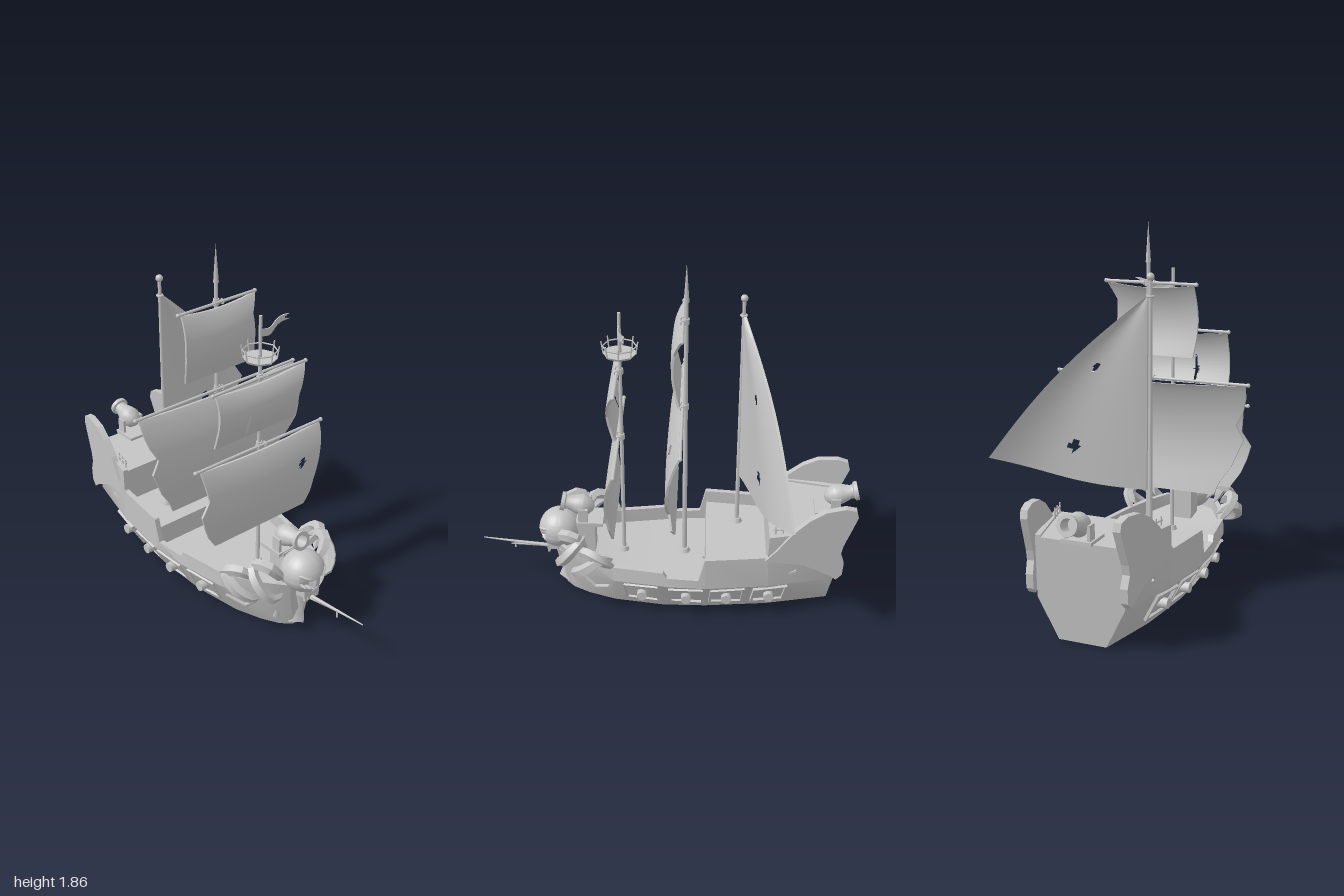
import * as THREE from 'three';
import { toCreasedNormals } from 'three/addons/utils/BufferGeometryUtils.js';

const V = (x, y, z) => new THREE.Vector3(x, y, z);
const lerp = THREE.MathUtils.lerp;
const CX = -0.047; // ship centreline

// hull stations: z, bottom half width, side half width, rim half width, rim y, deck y
const stations = [
  [-0.85, 0.12, 0.22, 0.215, 0.505, 0.495], [-0.52, 0.19, 0.3, 0.3, 0.505, 0.495],
  [-0.515, 0.19, 0.3, 0.3, 0.38, 0.31], [-0.2, 0.22, 0.335, 0.335, 0.38, 0.31],
  [-0.195, 0.22, 0.335, 0.335, 0.375, 0.2], [-0.165, 0.22, 0.333, 0.333, 0.25, 0.2],
  [0, 0.22, 0.325, 0.32, 0.25, 0.2], [0.02, 0.22, 0.32, 0.315, 0.28, 0.2],
  [0.28, 0.18, 0.28, 0.275, 0.28, 0.2], [0.42, 0.13, 0.215, 0.22, 0.29, 0.22],
  [0.51, 0.08, 0.14, 0.15, 0.3, 0.24], [0.555, 0.03, 0.07, 0.08, 0.28, 0.24]];

function hullAt(z, k) {
  let i = 0;
  while (i < stations.length - 2 && stations[i + 1][0] < z) i++;
  const a = stations[i], b = stations[i + 1];
  return lerp(a[k], b[k], (z - a[0]) / (b[0] - a[0]));
}

function hullGeometry() {
  const loops = stations.map(([z, b, m, t, rim, deck], i) => {
    const w = Math.max(t - 0.028, 0.02);
    const half = [[b, 0], [m, 0.2], [t, rim], [w, rim], [w, deck]];
    const pts = [...half, ...half.slice().reverse().map(([x, y]) => [-x, y])];
    return pts.map(([x, y]) => V(x, y, z - (i === 0 ? y * 0.07 : 0) + (z > 0.5 ? y * 0.08 : 0)));
  });
  const n = 10, index = [];
  for (let i = 0; i < loops.length - 1; i++) for (let j = 0; j < n; j++) {
    const a = i * n + j, b = i * n + (j + 1) % n;
    index.push(a, b, b + n, a, b + n, a + n);
  }
  // bow and stern caps
  const cap = (loop, base, flip) => THREE.ShapeUtils.triangulateShape(loop.map(p => new THREE.Vector2(p.x, p.y)), [])
    .forEach(([a, b, c]) => index.push(base + a, base + (flip ? c : b), base + (flip ? b : c)));
  cap(loops[0], 0, true);
  cap(loops[loops.length - 1], (loops.length - 1) * n, false);
  const g = new THREE.BufferGeometry().setFromPoints(loops.flat());
  g.setIndex(index);
  return toCreasedNormals(g, 0.5);
}

// cloth: a thin box bent by map(u, v), with diamond holes [u, v, du, dv]
function clothGeometry(map, holes = [], thick = 0.012, nx = 40, ny = 40) {
  const g = new THREE.BoxGeometry(1, 1, 1, nx, ny, 1), p = g.attributes.position;
  const id = g.index.array, keep = [];
  for (let i = 0; i < id.length; i += 3) {
    const t = [id[i], id[i + 1], id[i + 2]];
    const u = t.reduce((s, k) => s + p.getX(k), 0) / 3 + 0.5, v = 0.5 - t.reduce((s, k) => s + p.getY(k), 0) / 3;
    if (!holes.some(h => Math.abs(u - h[0]) / h[2] + Math.abs(v - h[1]) / h[3] < 1)) keep.push(...t);
  }
  g.setIndex(keep);
  for (let i = 0; i < p.count; i++) {
    const q = map(p.getX(i) + 0.5, 0.5 - p.getY(i));
    p.setXYZ(i, q.x, q.y, q.z + p.getZ(i) * thick);
  }
  return toCreasedNormals(g, 0.7);
}

// faceted tube along points, tapered at both ends
function hornGeometry(points, r, sides = 5, n = 9) {
  const path = new THREE.CatmullRomCurve3(points), g = new THREE.TubeGeometry(path, n, r, sides);
  const p = g.attributes.position, q = V(0, 0, 0);
  for (let i = 0; i < p.count; i++) {
    const t = Math.floor(i / (sides + 1)) / n, c = path.getPointAt(t);
    q.fromBufferAttribute(p, i).sub(c).multiplyScalar(Math.sqrt(Math.max(0, Math.sin(Math.PI * t)))).add(c);
    p.setXYZ(i, q.x, q.y, q.z);
  }
  return toCreasedNormals(g, 0.5);
}

export function createModel() {
  const grey = new THREE.MeshStandardMaterial({ color: 0xc4c4c4 });
  grey.name = 'plain grey';
  const model = new THREE.Group(), ship = new THREE.Group();
  ship.name = 'ship';
  ship.position.x = CX;
  model.add(ship);
  const add = (name, geo, x = 0, y = 0, z = 0, parent = ship) => {
    const m = new THREE.Mesh(geo, grey);
    m.name = name;
    m.position.set(x, y, z);
    parent.add(m);
    return m;
  };
  const box = (name, w, h, d, x, y, z, parent) => add(name, new THREE.BoxGeometry(w, h, d), x, y, z, parent);
  const rod = (name, a, b, r0, r1 = r0, sides = 8) => {
    const m = add(name, new THREE.CylinderGeometry(r1, r0, a.distanceTo(b), sides));
    m.position.copy(a).lerp(b, 0.5);
    m.quaternion.setFromUnitVectors(V(0, 1, 0), b.clone().sub(a).normalize());
    return m;
  };

  add('hull', hullGeometry());

  // stern side wings
  const outline = [[0.5, 0.37], [0.56, 0.43], [0.64, 0.53], [0.72, 0.6], [0.8, 0.643], [0.9, 0.655], [0.955, 0.64],
    [0.965, 0.6], [0.935, 0.52], [0.9, 0.43], [0.89, 0.38], [0.91, 0.32], [0.905, 0.25], [0.875, 0.22], [0.84, 0.25], [0.7, 0.33]];
  for (const s of [1, -1]) {
    const shape = new THREE.Shape(outline.map(([a, b]) => new THREE.Vector2(a, b)));
    const g = new THREE.ExtrudeGeometry(shape, { depth: 0.037, bevelEnabled: false }).rotateY(Math.PI / 2);
    const p = g.attributes.position;
    for (let i = 0; i < p.count; i++) p.setX(i, p.getX(i) - 0.0185 + s * (0.298 + (p.getZ(i) + 0.5) * 0.155));
    g.computeVertexNormals();
    add('sternWing', g);
  }

  // gun ports along both sides
  for (const s of [1, -1]) for (const z of [0.13, -0.1, -0.31, -0.53]) {
    const b = hullAt(z, 1), m = hullAt(z, 2), x = lerp(b, m, 0.6);
    const taper = -(hullAt(z + 0.05, 2) - hullAt(z - 0.05, 2)) / 0.1;
    const port = new THREE.Group();
    port.name = 'gunPort';
    port.position.set(s * x, 0.122, z);
    port.lookAt(port.position.clone().add(V(s, -(m - b) / 0.2, taper)));
    for (const e of [1, -1]) {
      box('portRail', 0.18, 0.012, 0.024, 0, e * 0.07, 0, port).rotation.z = s * e * 0.04;
      box('portPost', 0.012, 0.14, 0.024, e * 0.084, 0, 0, port);
    }
    ship.add(port);
    add('gunBarrel', new THREE.CylinderGeometry(0.026, 0.026, 0.08, 14), s * x, 0.118, z).rotation.z = Math.PI / 2;
  }
  // carved slashes and bow braces
  for (const s of [1, -1]) {
    [[-0.64, 0.27, 0.4], [-0.76, 0.28, 0.7], [-0.78, 0.36, 0.5], [-0.66, 0.36, 0.2]].forEach(([z, y, a]) => {
      box('hullScar', 0.012, 0.012, 0.06, s * hullAt(z, 3), y, z).rotation.x = a;
    });
    rod('bowBrace', V(s * 0.2, 0.1, 0.38), V(s * 0.262, 0.15, 0.3), 0.01);
    rod('bowBrace', V(s * 0.2, 0.1, 0.38), V(s * 0.185, 0.17, 0.45), 0.01);
    rod('bowSpike', V(s * 0.1, 0.06, 0.5), V(s * 0.1, 0.2, 0.54), 0.022, 0.002, 4);
  }

  // deck fittings: ladder to the upper deck and side rails at the stern
  for (const s of [1, -1]) box('ladderSide', 0.01, 0.11, 0.012, 0.23 + s * 0.035, 0.255, -0.19);
  for (let i = 0; i < 4; i++) box('ladderRung', 0.07, 0.008, 0.012, 0.23, 0.218 + i * 0.025, -0.19);
  for (const s of [1, -1]) {
    for (let i = 0; i < 3; i++) {
      const x = s * (0.262 - i * 0.008), z = -0.55 - i * 0.04;
      rod('sternRailPost', V(x, 0.49, z), V(x, 0.55, z), 0.004);
    }
    rod('sternRail', V(s * 0.264, 0.53, -0.54), V(s * 0.244, 0.53, -0.64), 0.005);
  }

  // masts
  const mast = (x, z, top, r) => {
    rod('mast', V(x, 0.2, z), V(x, top, z), r, r * 0.75, 10);
    add('mastCollar', new THREE.CylinderGeometry(r * 1.8, r * 2.6, 0.025, 10), x, z < -0.2 ? 0.32 : 0.21, z);
  };
  mast(0, 0.24, 1.6, 0.011);
  mast(0, -0.085, 1.68, 0.013);
  add('mastSpike', new THREE.ConeGeometry(0.014, 0.2, 8), 0, 1.76, -0.085);
  mast(-0.13, -0.365, 1.62, 0.012);
  add('mastBall', new THREE.SphereGeometry(0.019, 12, 8), -0.13, 1.626, -0.365);
  add('mastRing', new THREE.TorusGeometry(0.014, 0.006, 6, 10), -0.13, 1.535, -0.365).rotation.x = Math.PI / 2;

  // square sails with ragged side edges (sampled top to bottom, model x)
  const sample = (a, v) => {
    const t = v * (a.length - 1), i = Math.min(Math.floor(t), a.length - 2);
    return lerp(a[i], a[i + 1], t - i);
  };
  const squareSail = (x0, x1, top, bottom, z, belly, drift, left, right, holes) => {
    rod('yard', V(x0 - CX, top, z + 0.015), V(x1 - CX, top, z + 0.015), 0.008);
    for (const x of [x0, x1]) add('yardCap', new THREE.SphereGeometry(0.011, 8, 6), x - CX, top, z + 0.015);
    for (const s of [1, -1]) add('yardLashing', new THREE.TorusGeometry(0.012, 0.004, 6, 10), s * 0.025, top, z + 0.015).rotation.y = Math.PI / 2;
    add('yardCollar', new THREE.CylinderGeometry(0.016, 0.016, 0.03, 10), 0, top, z);
    add('sail', clothGeometry((u, v) => V(
      lerp(sample(left, v), sample(right, v), u) - CX,
      lerp(top - 0.005, bottom, v) - 0.02 * Math.sin(Math.PI * u) * (1 - v),
      z + 0.016 + belly * Math.sin(Math.PI * Math.pow(v, 0.85)) * (0.88 + 0.12 * Math.sin(Math.PI * u)) + drift * v), holes));
  };
  squareSail(-0.455, 0.355, 0.91, 0.465, 0.24, 0.045, 0.02,
    [-0.43, -0.42, -0.41, -0.46, -0.44, -0.41, -0.36], [0.34, 0.33, 0.31, 0.29, 0.27, 0.26, 0.23], [[0.83, 0.36, 0.03, 0.08]]);
  squareSail(-0.345, 0.235, 1.285, 1.005, 0.24, 0.04, 0.005,
    [-0.335, -0.335, -0.34, -0.345, -0.345], [0.225, 0.19, 0.16, 0.155, 0.165], [[0.36, 0.72, 0.025, 0.3]]);
  squareSail(-0.56, 0.455, 1.09, 0.515, -0.085, 0.06, 0.03,
    [-0.545, -0.54, -0.52, -0.48, -0.52, -0.49, -0.46, -0.41, -0.38], [0.45, 0.45, 0.45, 0.44, 0.42, 0.36, 0.28, 0.325, 0.25], [[0.68, 0.22, 0.045, 0.045]]);
  squareSail(-0.29, 0.185, 1.56, 1.2, -0.085, 0.045, 0.015,
    [-0.275, -0.28, -0.285, -0.28, -0.27], [0.18, 0.14, 0.145, 0.15, 0.17], []);

  // fore-and-aft sail on the rear mast
  const head = V(-0.12, 1.54, -0.37), tack = V(-0.117, 0.61, -0.375), clew = V(0.606, 0.75, -0.61);
  add('rearSail', clothGeometry((u, v) => {
    const luff = head.clone().lerp(tack, v), leech = head.clone().lerp(clew, v);
    const swell = Math.sin(Math.PI * v);
    leech.add(V(0.025 * swell, 0.03 * swell, -0.03 * swell));
    return luff.lerp(leech, u).add(V(0, -0.03 * v * Math.sin(Math.PI * u), 0.04 * Math.sin(Math.PI * u * u) * Math.sqrt(v)));
  }, [[0.55, 0.83, 0.05, 0.035], [0.7, 0.42, 0.04, 0.03]]));

  // lookout platform and pennant
  add('lookoutFloor', new THREE.CylinderGeometry(0.085, 0.075, 0.014, 8), 0, 1.38, 0.24);
  add('lookoutRail', new THREE.TorusGeometry(0.084, 0.004, 5, 8), 0, 1.422, 0.24).rotation.x = Math.PI / 2;
  for (let i = 0; i < 8; i++) {
    const a = i * Math.PI / 4, c = Math.cos(a), s = Math.sin(a);
    rod('lookoutPost', V(c * 0.08, 1.38, 0.24 + s * 0.08), V(c * 0.09, 1.445, 0.24 + s * 0.09), 0.004, 0.004, 5);
  }
  add('pennant', clothGeometry((u, v) => V(0.2 * u, 1.535 - 0.04 * v * (1 - 0.3 * u) - 0.012 * Math.sin(u * 5),
    0.24 - 0.03 * u + 0.01 * Math.sin(u * 7)), [[1, 0.5, 0.15, 0.5]], 0.006, 16, 6));

  // bowsprit
  rod('bowsprit', V(0, 0.2, 0.52), V(0, 0.26, 1), 0.014, 0.003);
  rod('bowspritSpar', V(-0.01, 0.205, 0.6), V(0.01, 0.23, 0.85), 0.008, 0.004);
  rod('bowspritPin', V(0, 0.2, 0.83), V(0, 0.245, 0.83), 0.005);

  // skull figurehead with pressed-in eye and nose sockets
  const skull = new THREE.SphereGeometry(0.112, 56, 40), p = skull.attributes.position, q = V(0, 0, 0);
  for (let i = 0; i < p.count; i++) {
    q.fromBufferAttribute(p, i);
    const low = Math.max(0, -q.y / 0.11), ax = Math.abs(q.x), slant = q.y - (ax - 0.045) * 0.4;
    const eye = q.z > 0 && ax > 0.014 && ax < 0.085 && slant < 0.018 && slant > -0.036;
    const nose = q.z > 0 && q.y < -0.04 && q.y > -0.075 && ax < (-0.035 - q.y) * 0.45;
    q.x *= 1 - 0.2 * low * low;
    if (eye || nose) q.z -= 0.035;
    p.setXYZ(i, q.x, q.y, q.z);
  }
  add('skull', toCreasedNormals(skull, 0.6), 0, 0.34, 0.58);
  box('upperJaw', 0.1, 0.05, 0.06, 0, 0.25, 0.62);
  for (let i = -2; i <= 2; i++) box('tooth', 0.015, 0.03, 0.014, i * 0.019, 0.22, 0.643);
  add('stemSpike', new THREE.ConeGeometry(0.035, 0.16, 4), 0, 0.12, 0.575).rotation.x = Math.PI;
  add('stemPlate', new THREE.CylinderGeometry(0.025, 0.055, 0.08, 4), 0, 0.06, 0.545);
  // curling arms and brows, mirrored
  const arms = [
    [[0.11, 0.24, 0.56], [0.18, 0.24, 0.57], [0.24, 0.31, 0.53], [0.23, 0.39, 0.46], [0.16, 0.4, 0.43]],
    [[0.17, 0.21, 0.48], [0.25, 0.23, 0.48], [0.31, 0.29, 0.42], [0.3, 0.34, 0.34], [0.23, 0.3, 0.28]],
    [[0.09, 0.3, 0.52], [0.14, 0.36, 0.56], [0.19, 0.42, 0.54], [0.21, 0.41, 0.47], [0.17, 0.31, 0.42]],
    [[0.19, 0.3, 0.46], [0.27, 0.37, 0.42], [0.3, 0.35, 0.35], [0.25, 0.26, 0.27]]];
  for (const s of [1, -1]) {
    for (const a of arms) add('curlingArm', hornGeometry(a.map(([x, y, z]) => V(s * x, y, z)), 0.031));
    add('brow', hornGeometry([[0.01, 0.345, 0.685], [0.05, 0.362, 0.677], [0.09, 0.38, 0.635]].map(([x, y, z]) => V(s * x, y, z)), 0.009));
  }

  // swivel cannons at bow and stern
  const profile = [[0, -0.09], [0.02, -0.085], [0.045, -0.063], [0.058, -0.025], [0.05, 0.01], [0.036, 0.05], [0.038, 0.065],
    [0.05, 0.07], [0.05, 0.09], [0.032, 0.09], [0.03, 0.02], [0, 0.02]].map(([x, y]) => new THREE.Vector2(x, y));
  const cannon = (dir, y, z, tilt) => {
    const g = toCreasedNormals(new THREE.LatheGeometry(profile, 20), 0.6);
    add('cannon', g, 0, y, z).rotation.x = dir * (Math.PI / 2 - tilt);
    for (const s of [1, -1]) box('cannonCheek', 0.015, 0.08, 0.05, s * 0.058, y - 0.04, z - dir * 0.03);
    box('cannonBase', 0.15, 0.02, 0.14, 0, y - 0.085, z - dir * 0.065);
  };
  cannon(1, 0.49, 0.48, 0.2);
  box('cannonStand', 0.1, 0.2, 0.1, 0, 0.31, 0.44);
  cannon(-1, 0.585, -0.9, 0.25);
  return model;
}
